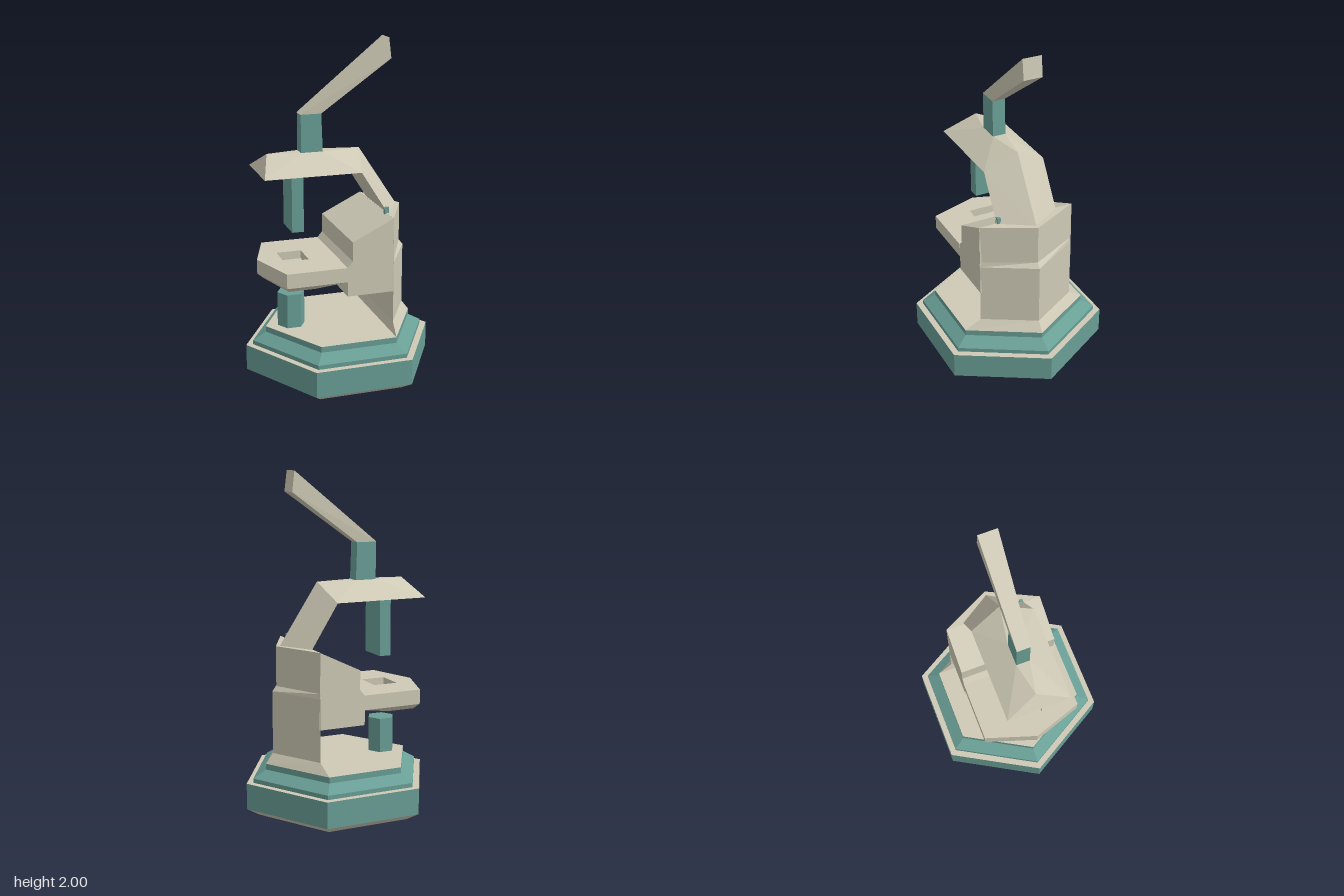
import * as THREE from 'three';
import { ConvexGeometry } from 'three/addons/geometries/ConvexGeometry.js';

const cream = new THREE.MeshStandardMaterial({ color: 0xcfcab6, side: THREE.DoubleSide });
cream.name = 'cream';
const teal = new THREE.MeshStandardMaterial({ color: 0x699f96, side: THREE.DoubleSide });
teal.name = 'teal';

// Flat-faced skin through loops of [x, y, z], listed counter-clockwise from above, bottom to top
function loft(loops, capBottom = true, capTop = true) {
  const pos = [];
  const tri = (...p) => p.forEach((v) => pos.push(...v));
  const n = loops[0].length;
  for (let k = 0; k < loops.length - 1; k++) {
    for (let i = 0; i < n; i++) {
      const j = (i + 1) % n;
      const [a, b, c, d] = [loops[k][i], loops[k][j], loops[k + 1][j], loops[k + 1][i]];
      tri(a, b, c);
      tri(a, c, d);
    }
  }
  const lo = loops[0], hi = loops[loops.length - 1];
  for (let i = 1; i < n - 1; i++) {
    if (capBottom) tri(lo[0], lo[i + 1], lo[i]);
    if (capTop) tri(hi[0], hi[i], hi[i + 1]);
  }
  const g = new THREE.BufferGeometry();
  g.setAttribute('position', new THREE.Float32BufferAttribute(pos, 3));
  g.computeVertexNormals();
  return g;
}

const hexLoop = ([r, y], cx = 0) => Array.from({ length: 6 }, (_, i) => {
  const t = (i * Math.PI) / 3;
  return [cx + r * Math.cos(t), y, -r * Math.sin(t)];
});

const hull = (pts) => new ConvexGeometry(pts.map((p) => new THREE.Vector3(...p)));
// A point and its mirror across z = 0
const pair = (x, y, z) => [[x, y, z], [x, y, -z]];

const polygon = (pts) => new THREE.Shape(pts.map((p) => new THREE.Vector2(...p)));

export function createModel() {
  const model = new THREE.Group();
  model.name = 'leverPress';
  const add = (name, geometry, material, x = 0, y = 0, z = 0) => {
    const m = new THREE.Mesh(geometry, material);
    m.name = name;
    m.position.set(x, y, z);
    model.add(m);
  };

  // Hollow hexagonal base, open underneath
  const band = (name, material, rings, top = false) =>
    add(name, loft(rings.map((r) => hexLoop(r)), false, top), material);
  band('baseFoot', cream, [[0.5, 0], [0.577, 0.045]]);
  band('baseWall', teal, [[0.577, 0.045], [0.577, 0.2]]);
  band('baseLedge', cream, [[0.577, 0.2], [0.535, 0.2]]);
  band('baseStep', teal, [[0.535, 0.2], [0.535, 0.225], [0.455, 0.27], [0.455, 0.305]]);
  band('baseFloor', cream, [[0.455, 0.305], [0.454, 0.305]], true);

  // Column with a ridged back, flaring onto the base
  const section = ([x, r, z, y]) => [[x, y, z], [r, y, 0], [x, y, -z]];
  add('column', loft([
    [0.228, 0.455, 0.394, 0.305],
    [0.24, 0.41, 0.3, 0.365],
    [0.24, 0.41, 0.3, 0.735],
    [0.235, 0.385, 0.3, 0.765],
    [0.235, 0.385, 0.3, 1.0],
  ].map(section)), cream);

  // Body block between column and table
  const body = polygon([[-0.04, 0.555], [0.245, 0.555], [0.237, 1.0], [-0.01, 0.88], [-0.01, 0.765], [-0.04, 0.73]]);
  add('body', new THREE.ExtrudeGeometry(body, { depth: 0.598, bevelEnabled: false }), cream, 0, 0, -0.299);

  // Pointed table with a square recess and bevelled underside
  const top = polygon([[-0.04, -0.3], [-0.04, 0.3], [-0.4, 0.3], [-0.5, 0], [-0.4, -0.3]]);
  top.holes.push(polygon([[-0.36, -0.085], [-0.36, 0.085], [-0.21, 0.085], [-0.21, -0.085]]));
  const plate = new THREE.ExtrudeGeometry(top, { depth: 0.05, bevelEnabled: false });
  plate.rotateX(-Math.PI / 2);
  add('tableTop', plate, cream, 0, 0.68, 0);
  const tableLoop = ([tip, shoulder, back, z, y]) =>
    [[tip, y, 0], [shoulder, y, z], [back, y, z], [back, y, -z], [shoulder, y, -z]];
  add('tableUnderside', loft([
    [-0.46, -0.38, -0.22, 0.26, 0.61],
    [-0.5, -0.4, -0.04, 0.3, 0.643],
    [-0.5, -0.4, -0.04, 0.3, 0.68],
  ].map(tableLoop)), cream);

  // Lower anvil post and upper ram
  add('anvilPost', loft([[0.083, 0.25], [0.083, 0.513]].map((r) => hexLoop(r, -0.298))), teal);
  add('ram', new THREE.BoxGeometry(0.07, 0.355, 0.19), teal, -0.275, 1.0825, 0);

  // Roof-shaped head and the leg that carries it
  add('head', hull([
    ...pair(-0.49, 1.255, 0.19), ...pair(0.08, 1.255, 0.19),
    [-0.43, 1.36, 0], ...pair(-0.235, 1.36, 0.04), ...pair(-0.105, 1.36, 0.04), [0.125, 1.36, 0],
  ]), cream);
  add('headLeg', hull([
    ...pair(0.08, 1.255, 0.19), [0.125, 1.36, 0],
    ...pair(0.24, 1.0, 0.19), [0.36, 1.0, 0],
  ]), cream);
  add('legPin', new THREE.BoxGeometry(0.025, 0.05, 0.02), teal, 0.235, 1.01, 0.178);

  // Hinge post and lever
  add('hingePost', hull([
    ...pair(-0.237, 1.355, 0.04), ...pair(-0.107, 1.355, 0.04),
    ...pair(-0.237, 1.582, 0.04), ...pair(-0.115, 1.582, 0.04),
  ]), teal);
  add('lever', hull([
    ...pair(-0.24, 1.582, 0.04), ...pair(-0.115, 1.582, 0.04),
    ...pair(0.3, 1.88, 0.057), ...pair(0.285, 2.0, 0.057),
  ]), cream);

  return model;
}
